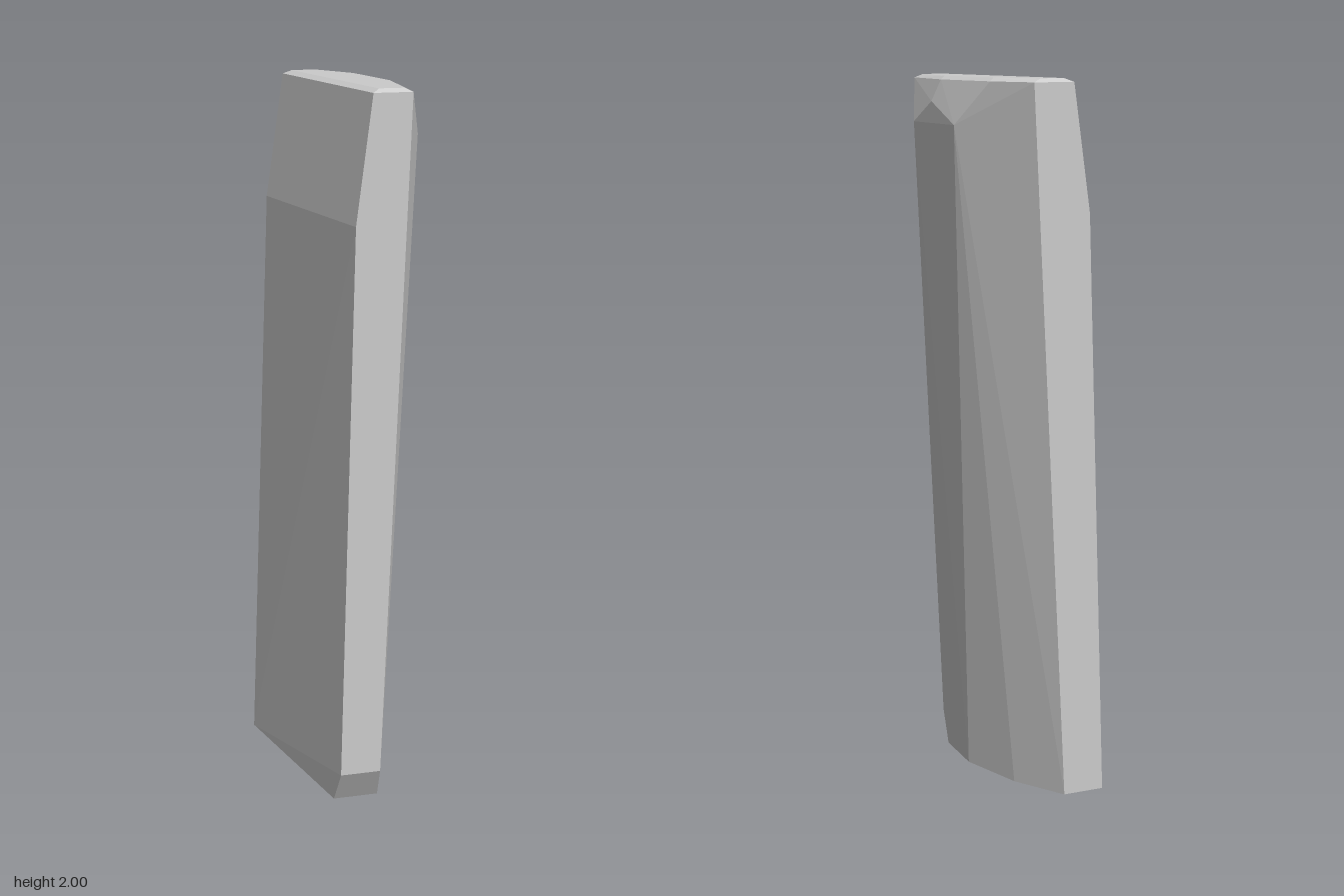
import * as THREE from 'three';
import { ConvexGeometry } from 'three/addons/geometries/ConvexGeometry.js';

// Leaning faceted slab: flat on the -x side, bowed on the +x side.
export function createModel() {
  const rings = [
    // foot, with its front edge cut back
    [[-0.166, 0.01, -0.315], [-0.045, 0.01, -0.315], [0.02, 0, -0.13], [0.065, 0, 0.08],
      [0.045, 0, 0.265], [-0.083, 0, 0.265]],
    // front chamfer
    [[-0.077, 0.09, 0.315], [0.038, 0.09, 0.315]],
    // bend on the flat side
    [[-0.113, 1.64, -0.315], [-0.037, 1.64, 0.315]],
    // shoulder on the bowed side
    [[0.165, 1.87, -0.047], [0.165, 1.87, 0.22], [0.165, 1.93, 0.1]],
    // top rim
    [[-0.063, 1.99, -0.315], [0.056, 1.99, -0.315], [0.115, 1.99, -0.17], [0.147, 1.99, 0.075],
      [0.12, 1.99, 0.315], [0.01, 1.99, 0.315]],
    // slightly raised top
    [[-0.04, 2, -0.3], [0.03, 2, -0.3], [0.1, 2, -0.16], [0.13, 2, 0.085],
      [0.1, 2, 0.3], [0.03, 2, 0.3]],
  ];
  const points = rings.flat().map((p) => new THREE.Vector3(...p));
  const slab = new THREE.Mesh(
    new ConvexGeometry(points),
    new THREE.MeshStandardMaterial({ color: 0xcccccc, flatShading: true }),
  );
  slab.name = 'slab';
  const group = new THREE.Group();
  group.name = 'leaningSlab';
  group.add(slab);
  return group;
}
